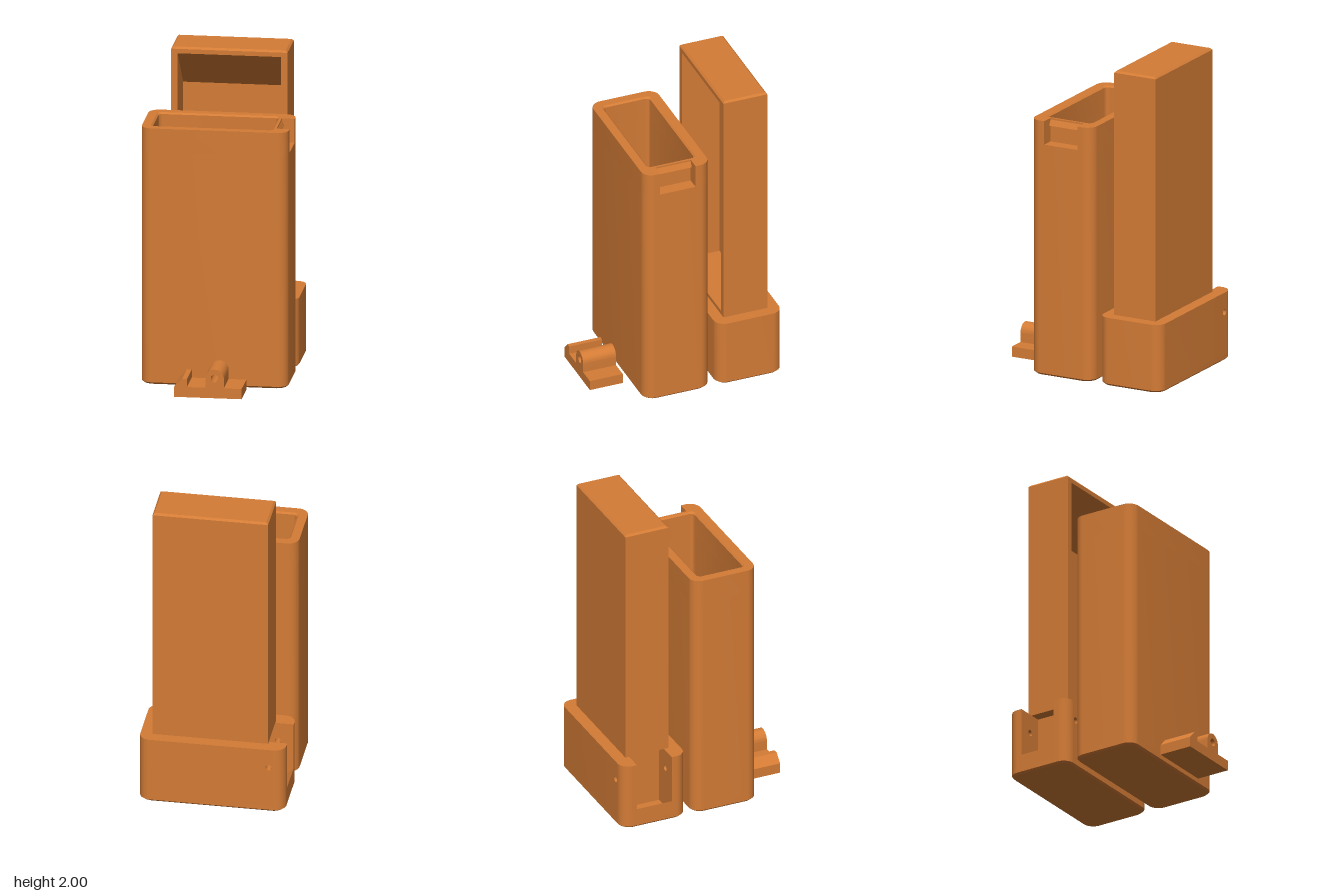
import * as THREE from 'three';
import { toCreasedNormals } from 'three/addons/utils/BufferGeometryUtils.js';

const orange = new THREE.MeshStandardMaterial({ color: 0xd47c36 });
orange.name = 'orange plastic';

// Outline in plan (x, z) with a radius for each corner:
// front-left(x0,z1), front-right(x1,z1), back-right(x1,z0), back-left(x0,z0)
function plan(x0, x1, z0, z1, r, Type = THREE.Shape) {
  const [a, b, c, d] = Array.isArray(r) ? r : [r, r, r, r];
  const s = new Type(), H = Math.PI / 2;
  const corner = (x, y, rad, from) => {
    if (rad) s.absarc(x, y, rad, from, from + H, false);
    else s.lineTo(x, y);
  };
  s.moveTo(x0 + a, -z1);
  corner(x1 - b, -z1 + b, b, -H);
  corner(x1 - c, -z0 - c, c, 0);
  corner(x0 + d, -z0 - d, d, H);
  corner(x0 + a, -z1 + a, a, 2 * H);
  s.closePath();
  return s;
}

const polygon = (points) => new THREE.Shape(points.map(([x, y]) => new THREE.Vector2(x, y)));

function rectHole(x0, x1, y0, y1) {
  return new THREE.Path([[x0, y0], [x0, y1], [x1, y1], [x1, y0]].map(([x, y]) => new THREE.Vector2(x, y)));
}

function circleHole(x, y, r) {
  return new THREE.Path().absarc(x, y, r, 0, Math.PI * 2, true);
}

const extrude = (shape, depth) =>
  new THREE.ExtrudeGeometry(shape, { depth, bevelEnabled: false, curveSegments: 12 });

// Plan outline raised from y0 to y1; the rule may shift vertices
function upright(shape, y0, y1, rule) {
  const g = extrude(shape, y1 - y0);
  g.rotateX(-Math.PI / 2).translate(0, y0, 0);
  if (rule) {
    const p = g.attributes.position, v = new THREE.Vector3();
    for (let i = 0; i < p.count; i++) {
      v.fromBufferAttribute(p, i);
      rule(v);
      p.setXYZ(i, v.x, v.y, v.z);
    }
  }
  return g;
}

// Front outline (x, y) carried from z0 to z1
const across = (shape, z0, z1) => extrude(shape, z1 - z0).translate(0, 0, z0);

function add(group, name, geometry) {
  const mesh = new THREE.Mesh(toCreasedNormals(geometry, 0.5), orange);
  mesh.name = name;
  group.add(mesh);
}

function part(parent, name) {
  const g = new THREE.Group();
  g.name = name;
  parent.add(g);
  return g;
}

// Shrinks a section about (cx, cz) to make a small chamfer
function inset(v, cx, cz, hx, hz, d) {
  v.x = cx + (v.x - cx) * (1 - d / hx);
  v.z = cz + (v.z - cz) * (1 - d / hz);
}

const W = 0.455, R = 0.07, CH = 0.012;

function buildSleeve(root) {
  const g = part(root, 'sleeve');
  const z0 = -0.11, z1 = 0.325, zc = (z0 + z1) / 2, hz = (z1 - z0) / 2;
  const outer = () => plan(-W, W, z0, z1, R);
  const cavity = () => plan(-0.39, 0.35, -0.045, 0.26, 0.025, THREE.Path);
  add(g, 'sleeveBottomChamfer', upright(outer(), 0, CH, (v) => {
    if (v.y < CH / 2) inset(v, 0, zc, W, hz, CH);
  }));
  add(g, 'sleeveFloor', upright(outer(), CH, 0.05));
  const wall = outer();
  wall.holes.push(cavity());
  add(g, 'sleeveWall', upright(wall, 0.05, 1.48));

  // Rim with the latch notch cut into its left side
  const notched = () => {
    const s = new THREE.Shape(), H = Math.PI / 2;
    s.moveTo(-W + R, -z1);
    s.absarc(W - R, -z1 + R, R, -H, 0, false);
    [[W, -0.225], [0.375, -0.225], [0.375, 0.01], [W, 0.01]].forEach(([x, y]) => s.lineTo(x, y));
    s.absarc(W - R, -z0 - R, R, 0, H, false);
    s.absarc(-W + R, -z0 - R, R, H, 2 * H, false);
    s.absarc(-W + R, -z1 + R, R, 2 * H, 3 * H, false);
    return s;
  };
  const rim = notched();
  rim.holes.push(cavity());
  add(g, 'sleeveRim', upright(rim, 1.48, 1.62));
  const lead = notched();
  lead.holes.push(plan(-0.4, 0.36, -0.055, 0.27, 0.03, THREE.Path));
  add(g, 'sleeveLeadIn', upright(lead, 1.62, 1.63, (v) => {
    const inHole = v.x > -0.402 && v.x < 0.362 && v.z > -0.057 && v.z < 0.272;
    if (inHole && v.y < 1.625) inset(v, -0.02, 0.1075, 0.38, 0.1625, 0.01);
  }));
  // Catch for the latch hook
  add(g, 'latchCatch', across(polygon([[0.37, 1.585], [0.392, 1.585], [0.375, 1.62], [0.37, 1.62]]), -0.01, 0.225));
}

function buildTray(root) {
  const g = part(root, 'tray');
  const z0 = -0.59, z1 = -0.155, zc = (z0 + z1) / 2, hz = (z1 - z0) / 2;
  const top = 0.435, low = 0.04, sx0 = -0.385, sx1 = -0.27, s0 = -0.49, s1 = -0.255;

  // Base, with a latch slot in its right side
  add(g, 'baseBottomChamfer', upright(plan(-W, W, z0, z1, R), 0, CH, (v) => {
    if (v.y < CH / 2) inset(v, 0, zc, W, hz, CH);
  }));
  add(g, 'baseFloor', upright(plan(-W, W, z0, z1, R), CH, low));
  add(g, 'baseBody', upright(plan(sx1, W, z0, z1, [0, R, R, 0]), low, top));
  add(g, 'slotFrontCorner', upright(plan(-W, sx0, s1, z1, [R, 0, 0, 0]), low, top));
  add(g, 'slotBackCorner', upright(plan(-W, sx0, z0, s0, [0, 0, 0, R]), low, top));
  for (const [name, a, b] of [['slotFrontCheek', s1, z1], ['slotBackCheek', z0, s0]]) {
    const cheek = polygon([[sx0, low], [sx1, low], [sx1, top], [sx0, top]]);
    cheek.holes.push(circleHole(-0.357, 0.31, 0.02));
    add(g, name, across(cheek, a, b));
  }
  add(g, 'slotRamp', across(polygon([[-W, low], [-0.37, low], [-W, 0.125]]), s0, s1));

  // Tall holder, open to the front
  const x0 = -0.34, x1 = 0.38, b0 = -0.515, b1 = -0.225, back = -0.475, H = 2;
  const panel = () => polygon([[x0, top], [x1, top], [x1, H - CH], [x0, H - CH]]);
  const frame = panel();
  frame.holes.push(rectHole(-0.3, 0.34, 0.46, 1.96));
  add(g, 'holderFrame', across(frame, back, b1));
  add(g, 'holderBack', across(panel(), b0, back));
  add(g, 'holderTop', upright(plan(x0, x1, b0, b1, 0), H - CH, H, (v) => {
    if (v.y > H - CH / 2) inset(v, 0.02, (b0 + b1) / 2, 0.36, 0.145, CH);
  }));
  // Sloped ceiling inside the holder
  const slope = extrude(polygon([[back, 1.71], [b1, 1.96], [back, 1.96]]), 0.64);
  slope.rotateY(-Math.PI / 2).translate(0.34, 0, 0);
  add(g, 'holderCeiling', slope);
}

function buildLatch(root) {
  const g = part(root, 'latch');
  const y = 0.065, cx = 0.041, cy = 0.125, r = 0.057;
  const s = polygon([[-0.21, 0], [0.208, 0], [0.208, y], [cx + r, y], [cx + r, cy]]);
  s.absarc(cx, cy, r, 0, Math.PI, false);
  [[cx - r, y], [-0.13, y], [-0.13, 0.117], [-0.16, 0.117], [-0.21, y]].forEach(([px, py]) => s.lineTo(px, py));
  s.closePath();
  s.holes.push(circleHole(cx, cy, 0.024));
  add(g, 'latchLever', across(s, 0.372, 0.59));
}

export function createModel() {
  const root = new THREE.Group();
  root.name = 'latchingCase';
  buildSleeve(root);
  buildTray(root);
  buildLatch(root);
  return root;
}
